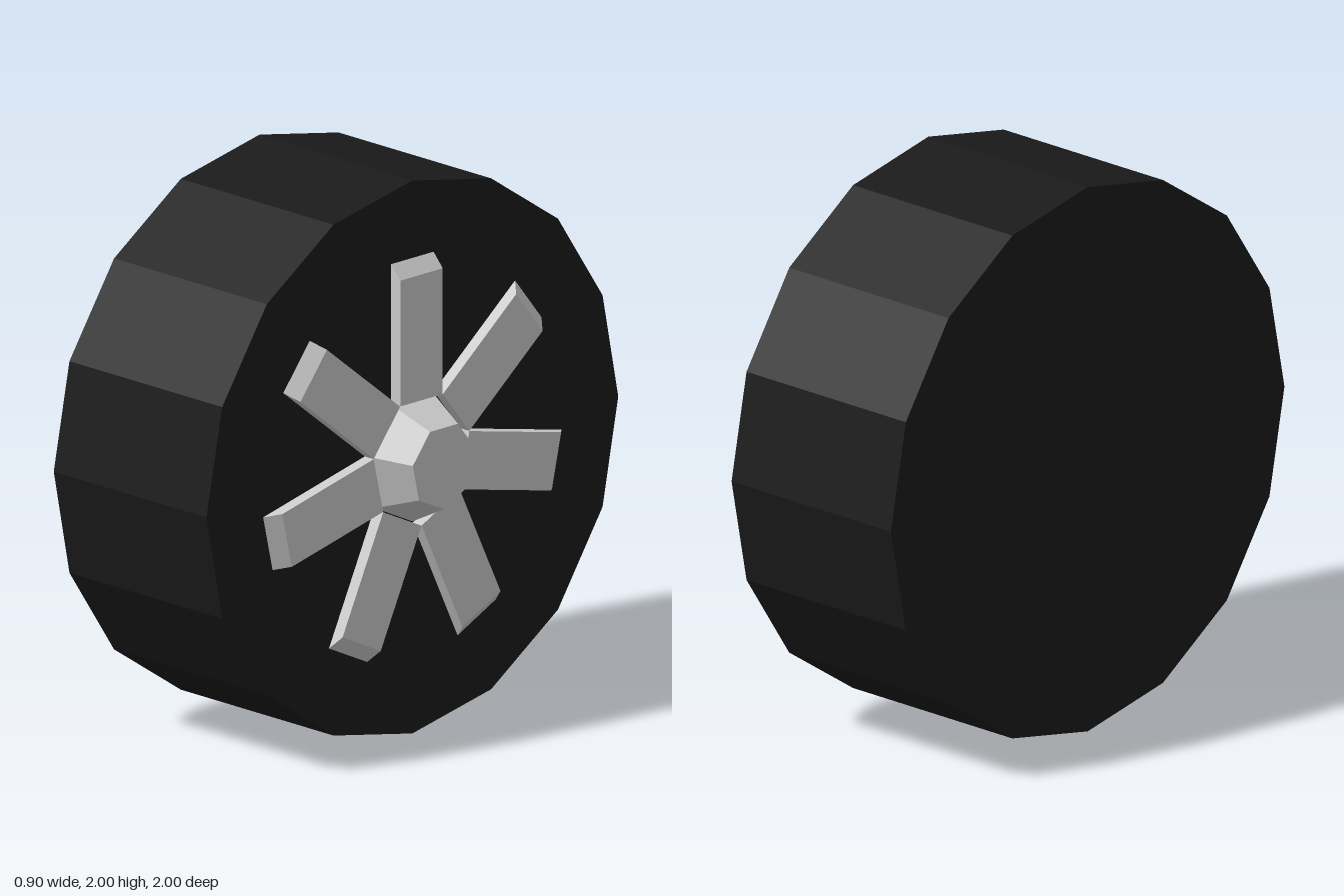
import * as THREE from 'three';

const FACE_X = 0.295; // outer face of the tyre
const BACK_X = -0.455;
const SPOKES = 7;

const rubber = new THREE.MeshStandardMaterial({ color: 0x1a1a1a, flatShading: true });
const metal = new THREE.MeshStandardMaterial({ color: 0xcccccc, flatShading: true });

// Cylinder or frustum lying along x, from x0 to x1
function disc(name, r0, r1, x0, x1, sides, thetaStart, material) {
  const geometry = new THREE.CylinderGeometry(r1, r0, x1 - x0, sides, 1, false, thetaStart);
  geometry.rotateZ(-Math.PI / 2);
  const mesh = new THREE.Mesh(geometry, material);
  mesh.name = name;
  mesh.position.x = (x0 + x1) / 2;
  return mesh;
}

export function createModel() {
  const wheel = new THREE.Group();
  wheel.name = 'wheel';
  wheel.position.y = 1;

  // Sixteen-sided tyre
  wheel.add(disc('tyre', 1, 1, BACK_X, FACE_X, 16, 0, rubber));

  // Tapered seven-sided hub, one side facing each spoke
  wheel.add(disc('hub', 0.233, 0.155, FACE_X, 0.45, SPOKES, Math.PI / 2, metal));

  // Spoke: side profile with a sloped outer end, extruded across its width
  const profile = new THREE.Shape([
    new THREE.Vector2(FACE_X, 0.215),
    new THREE.Vector2(0.34, 0.215),
    new THREE.Vector2(0.34, 0.67),
    new THREE.Vector2(FACE_X, 0.72),
  ]);
  const width = 0.206;
  const spokeGeometry = new THREE.ExtrudeGeometry(profile, { depth: width, bevelEnabled: false });
  spokeGeometry.translate(0, 0, -width / 2);

  const spokes = new THREE.Group();
  spokes.name = 'spokes';
  for (let i = 0; i < SPOKES; i++) {
    const spoke = new THREE.Mesh(spokeGeometry, metal);
    spoke.name = 'spoke' + (i + 1);
    spoke.rotation.x = (i / SPOKES) * Math.PI * 2;
    spokes.add(spoke);
  }
  wheel.add(spokes);

  const model = new THREE.Group();
  model.name = 'spokedWheel';
  model.add(wheel);
  return model;
}
